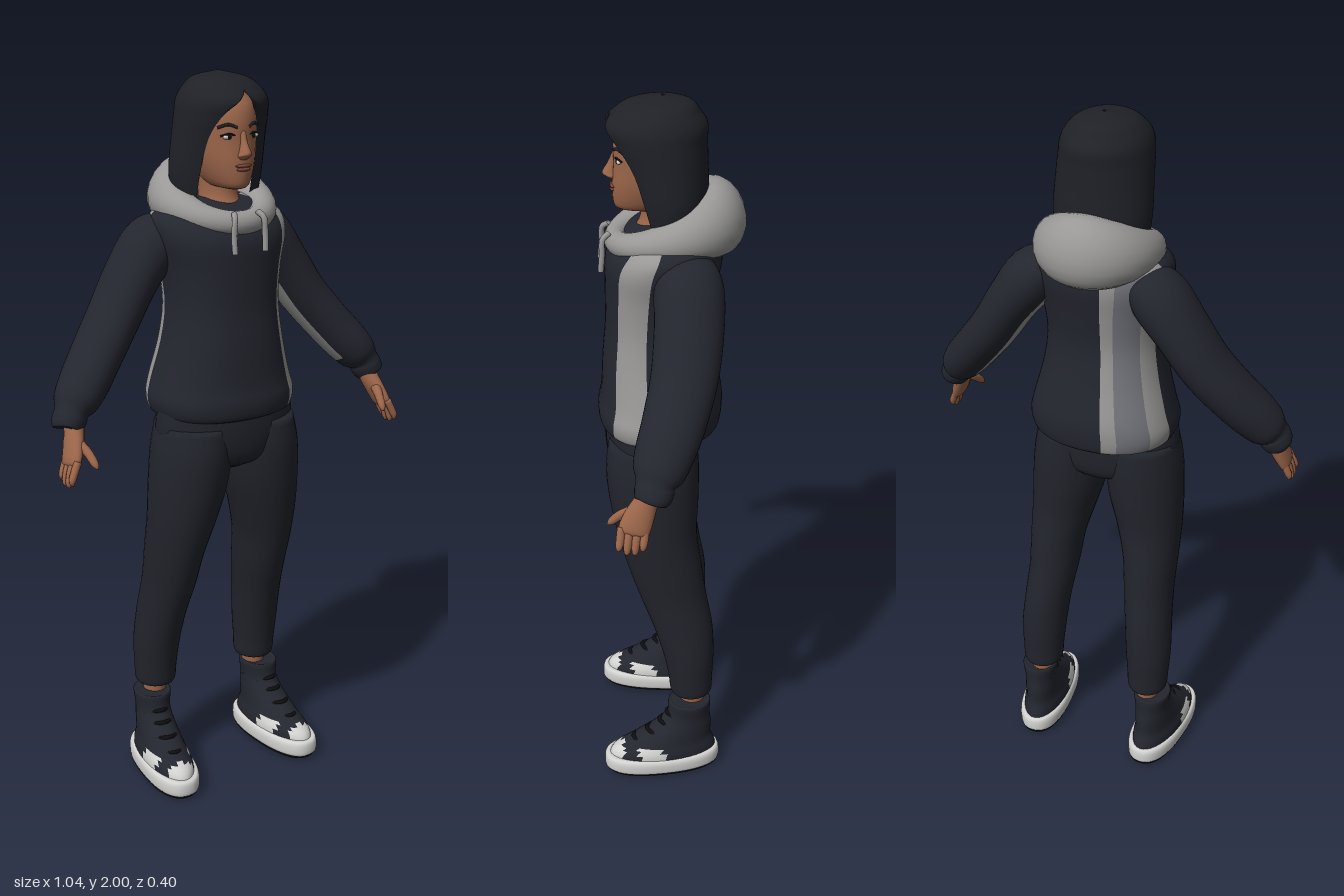
import * as THREE from 'three';
import { ParametricGeometry } from 'three/addons/geometries/ParametricGeometry.js';

const mat = (name, color, side = THREE.FrontSide) => {
  const m = new THREE.MeshStandardMaterial({ color, side });
  m.name = name;
  return m;
};
const M = {
  hoodie: mat('hoodie charcoal', 0x24262f),
  pants: mat('trouser charcoal', 0x22242c),
  hair: mat('hair black', 0x1f2127, THREE.DoubleSide),
  light: mat('light grey', 0x999897, THREE.DoubleSide),
  mid: mat('mid grey', 0x75767d),
  skin: mat('skin', 0x9c664a),
  lips: mat('lips', 0x7c4538),
  white: mat('shoe white', 0xd2d2d0),
  black: mat('black', 0x0e0e11),
};
const V = (x, y, z) => new THREE.Vector3(x, y, z);
const spline = (pts) => new THREE.CatmullRomCurve3(pts, false, 'catmullrom', 0.5);

function mesh(name, geometry, material) {
  const m = new THREE.Mesh(geometry, material);
  m.name = name;
  return m;
}

// Skin over cross-sections [x, y, z, radiusX, radiusZ]; paint(degrees, point) picks the material.
function loft(name, rows, mats, { seg = 32, sub = 4, flat = true, pow = 1, paint = () => 0 } = {}) {
  const centre = spline(rows.map((r) => V(r[0], r[1], r[2])));
  const radii = spline(rows.map((r) => V(r[3], r[4], 0)));
  const n = (rows.length - 1) * sub, pos = [], list = [].concat(mats), tris = list.map(() => []);
  const bend = (c) => Math.sign(c) * Math.abs(c) ** pow;
  for (let i = 0; i <= n; i++) {
    const c = centre.getPoint(i / n), r = radii.getPoint(i / n);
    const t = flat ? V(0, Math.sign(rows[rows.length - 1][1] - rows[0][1]), 0) : centre.getTangent(i / n);
    const Z = V(0, 0, 1).addScaledVector(t, -t.z).normalize(), X = t.clone().cross(Z);
    for (let j = 0; j < seg; j++) {
      const a = (j / seg) * Math.PI * 2;
      const p = c.clone().addScaledVector(X, r.x * bend(Math.cos(a))).addScaledVector(Z, r.y * bend(Math.sin(a)));
      pos.push(p.x, p.y, p.z);
    }
  }
  for (let i = 0; i < n; i++) for (let j = 0; j < seg; j++) {
    const a = i * seg + j, c = i * seg + (j + 1) % seg, b = a + seg, d = c + seg;
    const mid = V(0, 0, 0);
    for (const k of [a, b, c, d]) mid.add(V(pos[3 * k], pos[3 * k + 1], pos[3 * k + 2]).multiplyScalar(0.25));
    tris[paint((j + 0.5) * 360 / seg, mid)].push(a, b, c, b, d, c);
  }
  // end caps
  const first = pos.length / 3, end = n * seg;
  for (const p of [centre.getPoint(0), centre.getPoint(1)]) pos.push(p.x, p.y, p.z);
  for (let j = 0; j < seg; j++) {
    const k = (j + 1) % seg;
    tris[0].push(first, j, k, first + 1, end + k, end + j);
  }
  const g = new THREE.BufferGeometry();
  g.setAttribute('position', new THREE.Float32BufferAttribute(pos, 3));
  g.setIndex(tris.flat());
  let start = 0;
  if (list.length > 1) tris.forEach((t, k) => { g.addGroup(start, t.length, k); start += t.length; });
  g.computeVertexNormals();
  return mesh(name, g, mats);
}

const blob = (name, p, s, material) =>
  mesh(name, new THREE.SphereGeometry(1, 18, 12).scale(...s).translate(...p), material);
const tube = (name, pts, r, material) =>
  mesh(name, new THREE.TubeGeometry(spline(pts.map((p) => V(...p))), 12, r, 8), material);

// Mirror a mesh across x = 0, keeping faces outward.
function mirrored(m) {
  const g = m.geometry.clone().scale(-1, 1, 1), ix = g.index;
  for (let i = 0; i < ix.count; i += 3) {
    const a = ix.getX(i);
    ix.setX(i, ix.getX(i + 1));
    ix.setX(i + 1, a);
  }
  return mesh(m.name.replace('left', 'right'), g, m.material);
}

function shoe() {
  const upper = loft('leftShoeUpper', [
    [0, .04, .025, .066, .163], [0, .075, .022, .065, .153], [0, .105, .002, .057, .122],
    [0, .15, -.035, .051, .085], [0, .19, -.052, .048, .064], [0, .235, -.055, .053, .062],
    [0, .236, -.055, .04, .05]], [M.hoodie, M.white], {
    seg: 40,
    paint: (a, p) => (p.z > .145 || (p.z > .03 && p.z < .1 && p.y < .1 && Math.abs(p.x) > .035) ? 1 : 0),
  });
  const parts = [upper,
    loft('leftSole', [[0, .012, .025, .068, .166], [0, .02, .027, .073, .172], [0, .045, .027, .074, .172],
      [0, .058, .027, .069, .167], [0, .06, .027, .06, .155]], M.white, { seg: 40, pow: .85 }),
    loft('leftTread', [[0, 0, .025, .058, .15], [0, .006, .025, .068, .165], [0, .016, .025, .07, .169]],
      M.black, { seg: 40, pow: .85 })];
  [[.112, .113], [.14, .073], [.168, .035], [.196, .013]].forEach(([y, z], k) =>
    parts.push(tube('leftLace' + (k + 1), [[-.036, y - .012, z - .03], [0, y, z], [.036, y - .012, z - .03]], .006, M.black)));
  parts.forEach((p) => p.geometry.rotateY(.1).translate(.19, 0, 0));
  return parts;
}

function hand() {
  const parts = [loft('leftPalm', [[.462, 1.165, .055, .028, .03], [.47, 1.125, .075, .025, .031],
    [.482, 1.09, .093, .022, .038], [.495, 1.055, .108, .017, .04], [.499, 1.043, .112, .008, .028]],
  M.skin, { flat: false, seg: 20 })];
  for (let k = 0; k < 4; k++) {
    const z = .079 + .02 * k, tip = 1.004 - .012 * Math.sin(k * 1.1);
    parts.push(loft('leftFinger' + (k + 1), [[.492, 1.065, z, .01, .011], [.506, 1.035, z + .004, .01, .011],
      [.513, tip + .012, z + .007, .009, .009], [.512, tip, z + .008, .003, .003]], M.skin, { flat: false, seg: 10 }));
  }
  parts.push(loft('leftThumb', [[.475, 1.105, .1, .014, .016], [.463, 1.085, .135, .012, .013],
    [.456, 1.06, .162, .01, .01], [.453, 1.048, .172, .003, .003]], M.skin, { flat: false, seg: 12 }));
  return parts;
}

// Bob hair: a shell left open over the face.
function hair() {
  const rows = [[1.67, -.005, .122, .088, .95], [1.75, 0, .129, .104, .85], [1.83, .013, .125, .115, .78],
    [1.89, .025, .121, .125, .56], [1.93, .03, .115, .13, .2], [1.96, .028, .098, .11, 0],
    [1.985, .02, .066, .078, 0], [2, .012, .004, .004, 0]];
  const a = spline(rows.map((r) => V(r[0], r[1], r[4]))), b = spline(rows.map((r) => V(r[2], r[3], 0)));
  return mesh('hair', new ParametricGeometry((u, v, out) => {
    const p = a.getPoint(v), r = b.getPoint(v), gap = Math.max(0, p.z);
    const f = gap + u * (Math.PI * 2 - 2 * gap);
    const k = u < .01 || u > .99 ? 1 - .18 * Math.min(1, gap * 3) : 1;
    out.set(Math.sin(f) * r.x * k, p.x, p.y + Math.cos(f) * r.y * k);
  }, 56, 40), M.hair);
}

// Folded hood: a ring that swells and rises toward the back.
function hood() {
  return mesh('hood', new ParametricGeometry((u, v, out) => {
    const f = u * Math.PI * 2, q = v * Math.PI * 2, t = (1 - Math.cos(f)) / 2;
    const a = .03 + .037 * t, b = .032 + .02 * t + .04 * t * t;
    const rise = 1.625 + .095 * t - .03 * t * t;
    const r = Math.cos(q) * a - Math.sin(q) * .012 * t;
    out.set(Math.sin(f) * (.118 + r), rise + Math.sin(q) * b, Math.cos(f) * (.134 + r));
  }, 56, 20), M.light);
}

export function createModel() {
  const model = new THREE.Group();
  model.name = 'figure';
  const group = (name, ...parts) => {
    const g = new THREE.Group();
    g.name = name;
    g.add(...parts);
    model.add(g);
  };
  const pair = (parts) => parts.flatMap((p) => [p, mirrored(p)]);

  // Hoodie body with a panel on the front and one on the opposite side of the back
  const torso = loft('hoodieBody', [
    [0, 1.1, .02, .18, .15], [0, 1.112, .023, .198, .163], [0, 1.15, .022, .206, .168], [0, 1.2, .018, .194, .163],
    [0, 1.3, .025, .168, .15], [0, 1.4, .026, .155, .14], [0, 1.5, .019, .164, .146], [0, 1.58, .01, .184, .151],
    [0, 1.63, -.003, .182, .132], [0, 1.665, -.012, .135, .098], [0, 1.68, -.02, .08, .06]],
  [M.hoodie, M.light, M.mid], {
    seg: 60, pow: .88,
    paint: (a) => ((a > 12 && a < 48) || (a > 192 && a < 216) || (a > 246 && a < 258) ? 1 : a > 216 && a < 246 ? 2 : 0),
  });
  const sleeve = loft('leftSleeve', [
    [.12, 1.6, -.04, .05, .07], [.172, 1.558, -.045, .075, .088], [.235, 1.475, -.042, .07, .088],
    [.3, 1.375, -.027, .066, .085], [.37, 1.285, .003, .064, .08], [.42, 1.225, .03, .062, .074],
    [.45, 1.19, .045, .055, .065], [.465, 1.17, .053, .043, .05], [.472, 1.155, .056, .044, .05],
    [.484, 1.135, .06, .04, .045], [.486, 1.131, .061, .03, .034]], [M.hoodie, M.light], {
    flat: false, seg: 36,
    paint: (a, p) => ((a < 30 || a > 330) && p.x < .38 ? 1 : 0),
  });
  const cord = tube('leftDrawstring', [[.035, 1.655, .15], [.044, 1.64, .168], [.047, 1.6, .17], [.046, 1.555, .174]], .008, M.light);
  group('hoodie', torso, hood(), ...pair([sleeve, cord]));

  // Trousers
  const leg = loft('leftTrouserLeg', [
    [.1, 1.08, .045, .1, .12], [.107, 1, .047, .108, .127], [.117, .9, .043, .105, .122], [.132, .8, .035, .092, .11],
    [.145, .7, .015, .078, .103], [.15, .6, -.008, .071, .094], [.16, .5, -.035, .067, .085],
    [.168, .4, -.052, .066, .073], [.17, .32, -.058, .061, .064], [.17, .27, -.06, .057, .06],
    [.17, .262, -.06, .042, .046]], M.pants);
  const hips = loft('hips', [[0, .945, .045, .05, .06], [0, .98, .045, .165, .112], [0, 1.05, .046, .204, .126],
    [0, 1.14, .045, .198, .124]], M.pants);
  group('trousers', hips, ...pair([leg]));

  // Ankles, shoes and hands
  const ankle = loft('leftAnkle', [[.172, .19, -.062, .036, .038], [.171, .24, -.064, .033, .036],
    [.17, .3, -.062, .038, .04]], M.skin, { seg: 20 });
  group('feet', ...pair([ankle, ...shoe()]));
  group('hands', ...pair(hand()));

  // Head
  const head = loft('face', [
    [0, 1.708, .06, .02, .05], [0, 1.716, .053, .043, .08], [0, 1.74, .042, .06, .098], [0, 1.78, .032, .075, .109],
    [0, 1.83, .025, .084, .112], [0, 1.88, .02, .087, .116], [0, 1.925, .012, .08, .108], [0, 1.965, .01, .045, .06]], M.skin);
  const neck = loft('neck', [[0, 1.6, .03, .075, .085], [0, 1.645, .022, .06, .072], [0, 1.69, .012, .05, .058],
    [0, 1.76, .012, .052, .06]], M.skin);
  const nose = loft('nose', [[0, 1.787, .134, .01, .008], [0, 1.797, .142, .018, .016], [0, 1.806, .144, .015, .021],
    [0, 1.83, .138, .009, .013], [0, 1.86, .13, .009, .007]], M.skin, { seg: 16 });
  const features = pair([
    blob('leftEye', [.037, 1.845, .123], [.016, .0065, .006], M.white),
    blob('leftIris', [.036, 1.845, .1265], [.0065, .0063, .0045], M.black),
    tube('leftLashes', [[.02, 1.848, .131], [.037, 1.853, .128], [.055, 1.847, .114]], .0025, M.black),
    tube('leftEyebrow', [[.016, 1.868, .134], [.038, 1.876, .125], [.06, 1.868, .108]], .004, M.hair),
  ]);
  group('head', head, neck, nose, ...features, hair(),
    blob('upperLip', [0, 1.772, .138], [.024, .005, .008], M.lips),
    blob('lowerLip', [0, 1.763, .137], [.02, .006, .009], M.lips));
  return model;
}
